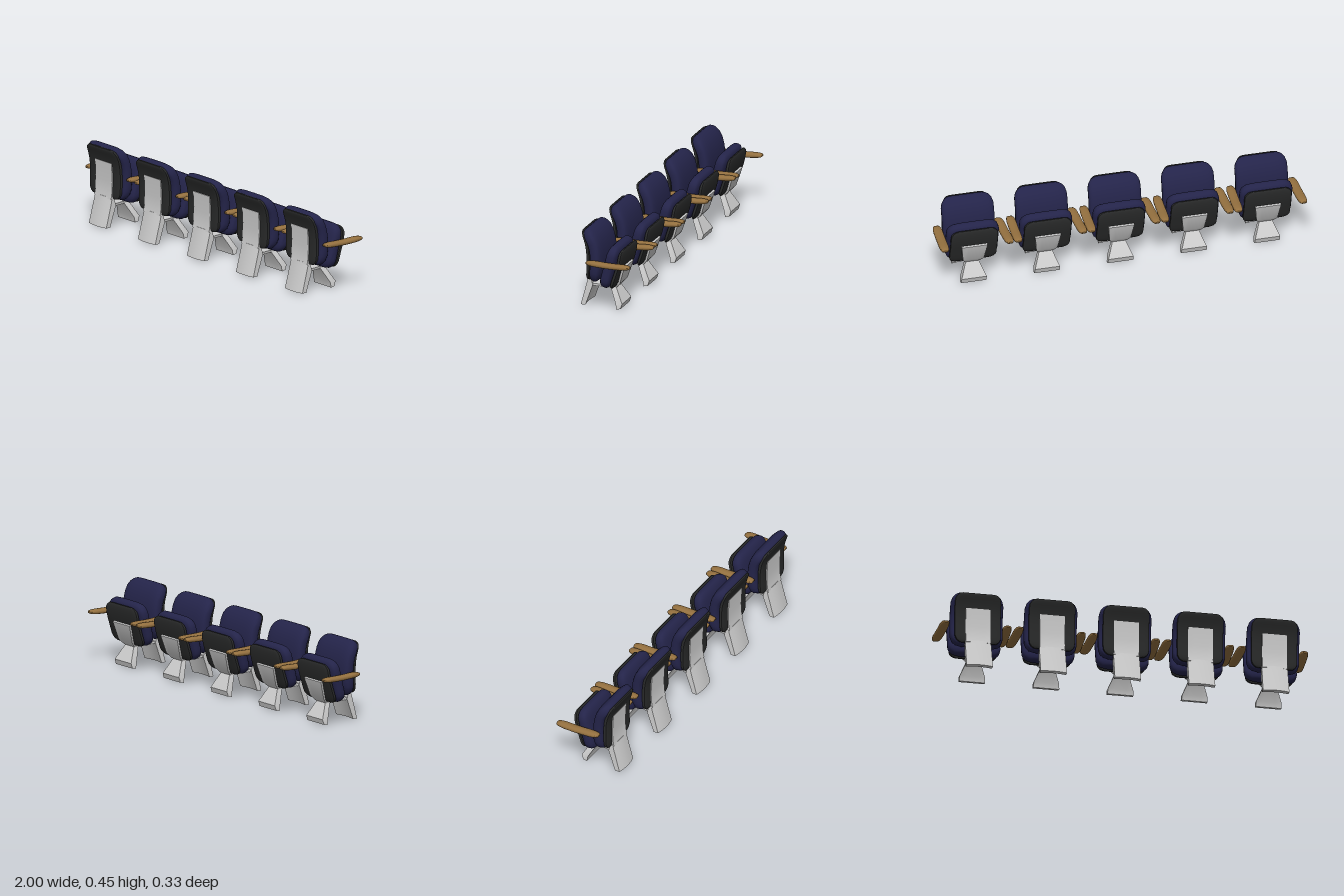
import * as THREE from 'three';
import { toCreasedNormals } from 'three/addons/utils/BufferGeometryUtils.js';

const mat = (name, color) => {
  const m = new THREE.MeshStandardMaterial({ color });
  m.name = name;
  return m;
};

// Rings hold [u, t]: u across the width (-1..1), t from side B (0) to side A (1)
function softRing(n, p) {
  const pw = (v) => Math.sign(v) * Math.abs(v) ** p;
  return Array.from({ length: n }, (_, i) => {
    const a = (i / n) * Math.PI * 2;
    return [pw(Math.sin(a)), 0.5 + 0.5 * pw(Math.cos(a))];
  });
}
const us = [-1, -0.5, 0, 0.5, 1];
const plateRing = [...us.map((u) => [u, 1]), ...us.map((u) => [-u, 0])];

// Solid through rows of [zA, yA, zB, yB, halfWidth], closed at both ends
function loft(rows, ring, crease, bow = 0) {
  const pos = [], idx = [], n = ring.length, last = rows.length - 1;
  for (const [zA, yA, zB, yB, w] of rows) {
    for (const [u, t] of ring) {
      pos.push(u * w, yB + (yA - yB) * t, zB + (zA - zB) * t - bow * u * u);
    }
  }
  for (let i = 0; i < last; i++) {
    for (let j = 0; j < n; j++) {
      const k = (j + 1) % n, a = i * n, b = a + n;
      idx.push(a + j, a + k, b + k, a + j, b + k, b + j);
    }
  }
  for (const [r, flip] of [[0, true], [last, false]]) {
    const [zA, yA, zB, yB] = rows[r];
    const c = pos.length / 3;
    pos.push(0, (yA + yB) / 2, (zA + zB) / 2 - bow * 0.4);
    for (let j = 0; j < n; j++) {
      const p = r * n + j, q = r * n + ((j + 1) % n);
      idx.push(c, flip ? q : p, flip ? p : q);
    }
  }
  const g = new THREE.BufferGeometry();
  g.setAttribute('position', new THREE.Float32BufferAttribute(pos, 3));
  g.setIndex(idx);
  return toCreasedNormals(g, crease);
}

// Rounded slab along a spine of [z, y]; width and depth round off within `corner` of each end
function pad(spine, halfWidth, halfDepth, corner, endWidth, ring) {
  const curve = new THREE.CatmullRomCurve3(spine.map(([z, y]) => new THREE.Vector3(0, y, z)));
  const steps = 14;
  const rows = Array.from({ length: steps + 1 }, (_, i) => {
    const s = 0.5 - 0.5 * Math.cos((Math.PI * i) / steps);
    const c = curve.getPointAt(s), t = curve.getTangentAt(s);
    const e = Math.min(1, s / corner, (1 - s) / corner);
    const k = Math.sqrt(Math.max(0, 1 - (1 - e) ** 2));
    const d = halfDepth * (0.3 + 0.7 * k);
    const w = halfWidth * (endWidth + (1 - endWidth) * k);
    return [c.z + t.y * d, c.y - t.z * d, c.z - t.y * d, c.y + t.z * d, w];
  });
  return loft(rows, ring, 0.7);
}

export function createModel() {
  const navy = mat('navy fabric', 0x24244a);
  const black = mat('black shell', 0x292a2a);
  const grey = mat('light grey metal', 0xcecece);
  const wood = mat('brown wood', 0x94703f);
  const cushionRing = softRing(28, 0.5), shellRing = softRing(24, 0.35);

  const template = new THREE.Group();
  template.name = 'foldingSeat';
  const add = (name, material, geo) => {
    const mesh = new THREE.Mesh(geo, material);
    mesh.name = name;
    template.add(mesh);
    return mesh;
  };

  // Backrest: padded cushion in a thin shell
  const backSpine = [[0.075, 0.152], [0.06, 0.2], [0.055, 0.26], [0.058, 0.32], [0.075, 0.38], [0.117, 0.439]];
  add('backCushion', navy, pad(backSpine, 0.142, 0.034, 0.22, 0.62, cushionRing));
  const backShellSpine = [[0.101, 0.157], [0.098, 0.2], [0.096, 0.25], [0.099, 0.33], [0.113, 0.39], [0.134, 0.434]];
  add('backShell', black, pad(backShellSpine, 0.125, 0.011, 0.16, 0.68, shellRing));

  // Seat, folded up
  add('seatCushion', navy, pad([[0.01, 0.125], [-0.05, 0.359]], 0.142, 0.034, 0.22, 0.62, cushionRing));
  const seatShellSpine = [[-0.028, 0.123], [-0.035, 0.14], [-0.055, 0.2], [-0.076, 0.27], [-0.087, 0.341]];
  add('seatShell', black, pad(seatShellSpine, 0.129, 0.0105, 0.18, 0.66, shellRing));

  // Metal frame
  add('backSupport', grey, loft([
    [0.121, 0.155, 0.105, 0.155, 0.068],
    [0.114, 0.19, 0.104, 0.19, 0.067],
    [0.111, 0.25, 0.101, 0.25, 0.067],
    [0.117, 0.353, 0.107, 0.353, 0.067],
  ], plateRing, 0.5));
  add('frontLeg', grey, loft([
    [0.165, 0.005, 0.138, 0.005, 0.071],
    [0.128, 0.14, 0.097, 0.12, 0.07],
    [0.122, 0.165, 0.11, 0.165, 0.069],
  ], plateRing, 0.5, 0.009));
  add('seatBracket', grey, loft([
    [0.1, 0.128, 0.1, 0.116, 0.066],
    [0, 0.118, 0.002, 0.105, 0.032],
    [-0.025, 0.121, -0.035, 0.112, 0.042],
    [-0.05, 0.146, -0.06, 0.14, 0.057],
    [-0.08, 0.242, -0.09, 0.238, 0.07],
  ], plateRing, 0.5));
  add('rearLeg', grey, loft([
    [-0.045, 0, -0.068, 0.004, 0.07],
    [-0.04, 0.03, -0.077, 0.032, 0.068],
    [0, 0.107, -0.03, 0.115, 0.034],
  ], plateRing, 0.5));

  // Armrests, splayed slightly outwards
  const armSpine = [[0.088, 0.278], [-0.04, 0.2745], [-0.163, 0.279]];
  const armGeo = pad(armSpine, 0.025, 0.0135, 0.22, 0.45, softRing(16, 0.7));
  for (const side of [-1, 1]) {
    const arm = add(side > 0 ? 'leftArmrest' : 'rightArmrest', wood, armGeo);
    arm.position.x = side * 0.1705;
    arm.rotation.y = -side * 0.04;
  }

  // Five identical seats in a row
  const row = new THREE.Group();
  row.name = 'seatRow';
  for (let i = -2; i <= 2; i++) {
    const seat = template.clone();
    seat.position.x = i * 0.4;
    row.add(seat);
  }
  return row;
}
